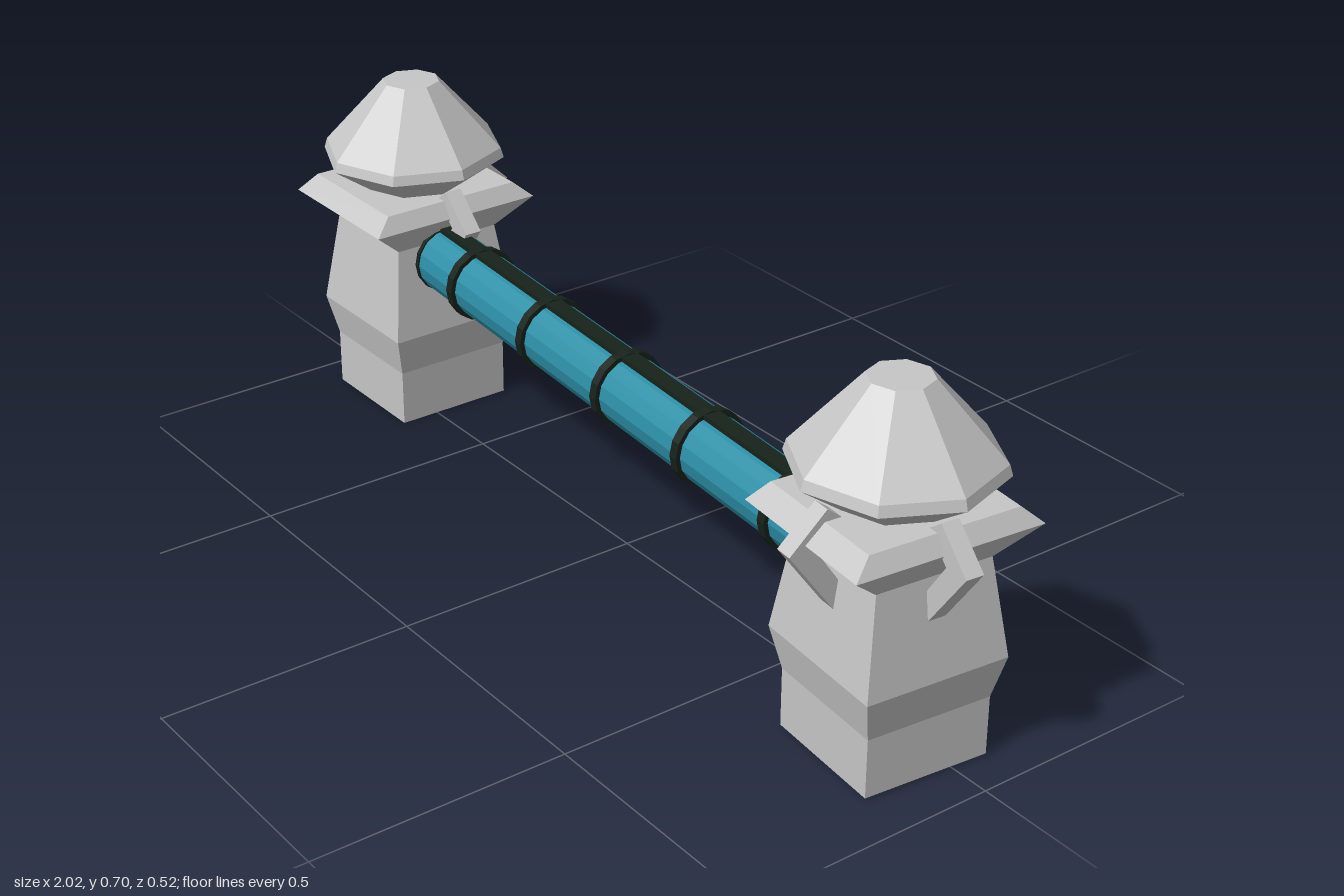
import * as THREE from 'three';

const flat = (name, color) => {
  const m = new THREE.MeshStandardMaterial({ color, flatShading: true });
  m.name = name;
  return m;
};

// Closed solid through rectangular sections [y, halfX, halfZ], listed bottom to top
function rectangularStack(sections) {
  const pos = [], index = [];
  for (const [y, hx, hz] of sections) pos.push(-hx, y, hz, hx, y, hz, hx, y, -hz, -hx, y, -hz);
  for (let s = 0; s < sections.length - 1; s++) {
    for (let k = 0; k < 4; k++) {
      const a = s * 4 + k, b = s * 4 + (k + 1) % 4;
      index.push(a, b, b + 4, a, b + 4, a + 4);
    }
  }
  const t = (sections.length - 1) * 4;
  index.push(0, 2, 1, 0, 3, 2, t, t + 1, t + 2, t, t + 2, t + 3);
  const g = new THREE.BufferGeometry();
  g.setAttribute('position', new THREE.Float32BufferAttribute(pos, 3));
  g.setIndex(index);
  const out = g.toNonIndexed();
  out.computeVertexNormals();
  return out;
}

function mesh(name, geometry, material) {
  const m = new THREE.Mesh(geometry, material);
  m.name = name;
  return m;
}

// Stone pillar with collar, eight-sided cap and three bent brackets
function createPillar(name, stone) {
  const pillar = new THREE.Group();
  pillar.name = name;

  pillar.add(mesh('pillarBody', rectangularStack([
    [0, 0.125, 0.125], [0.115, 0.125, 0.125], [0.197, 0.143, 0.143], [0.388, 0.116, 0.116],
  ]), stone));
  pillar.add(mesh('collar', rectangularStack([
    [0.385, 0.116, 0.116], [0.447, 0.158, 0.187], [0.48, 0.138, 0.15],
  ]), stone));

  const capProfile = [[0, 0.465], [0.085, 0.465], [0.188, 0.538], [0.182, 0.558], [0.058, 0.696], [0, 0.696]]
    .map(([r, y]) => new THREE.Vector2(r, y));
  pillar.add(mesh('cap', new THREE.LatheGeometry(capProfile, 8), stone));

  const outline = new THREE.Shape([
    [0.1, 0.335], [0.125, 0.307], [0.217, 0.433], [0.146, 0.502], [0.115, 0.478], [0.165, 0.43],
  ].map(([x, y]) => new THREE.Vector2(x, y)));
  const bracket = new THREE.ExtrudeGeometry(outline, { depth: 0.035, bevelEnabled: false });
  bracket.translate(0, 0, -0.0175);
  // Brackets on both x sides and the -z side
  for (let i = 0; i < 3; i++) {
    const b = mesh('bracket', bracket, stone);
    b.rotation.y = i * Math.PI / 2;
    pillar.add(b);
  }
  return pillar;
}

// Beam along its own y axis, from start to end
function createBeam(start, end, glass, dark) {
  const beam = new THREE.Group();
  beam.name = 'beam';
  const dir = end.clone().sub(start);
  const length = dir.length();
  dir.normalize();
  // Local x points up, local y runs along the beam
  const up = new THREE.Vector3(0, 1, 0).addScaledVector(dir, -dir.y).normalize();
  const side = new THREE.Vector3().crossVectors(up, dir);
  beam.quaternion.setFromRotationMatrix(new THREE.Matrix4().makeBasis(up, dir, side));
  beam.position.copy(start).add(end).multiplyScalar(0.5);

  beam.add(mesh('tube', new THREE.CylinderGeometry(0.067, 0.067, length, 16), glass));

  // Raised bands, with thin rims at the two ends
  const addBand = (name, y, width, radius) => {
    const b = mesh(name, new THREE.CylinderGeometry(radius, radius, width, 16), dark);
    b.position.y = y;
    beam.add(b);
  };
  for (let i = -2; i <= 2; i++) addBand('band', i * 0.266 + 0.005, 0.02, 0.076);
  for (const s of [-1, 1]) addBand('endRim', s * length / 2, 0.01, 0.07);

  // Rails along the top and bottom
  for (const s of [-1, 1]) {
    const rail = mesh('rail', new THREE.BoxGeometry(0.014, length, 0.034), dark);
    rail.position.x = s * 0.066;
    beam.add(rail);
  }
  return beam;
}

export function createModel() {
  const stone = flat('stone', 0xc6c6c6);
  const glass = flat('teal', 0x2c8fa6);
  const dark = flat('dark metal', 0x16221a);

  const model = new THREE.Group();
  model.name = 'pillarGate';

  const right = createPillar('rightPillar', stone);
  right.position.set(-0.798, 0, -0.044);
  const left = createPillar('leftPillar', stone);
  left.position.set(0.789, 0.004, 0.042);
  left.rotation.y = Math.PI - 0.095;

  model.add(right, left, createBeam(
    new THREE.Vector3(-0.665, 0.351, -0.031), new THREE.Vector3(0.668, 0.333, 0.044), glass, dark));
  return model;
}
